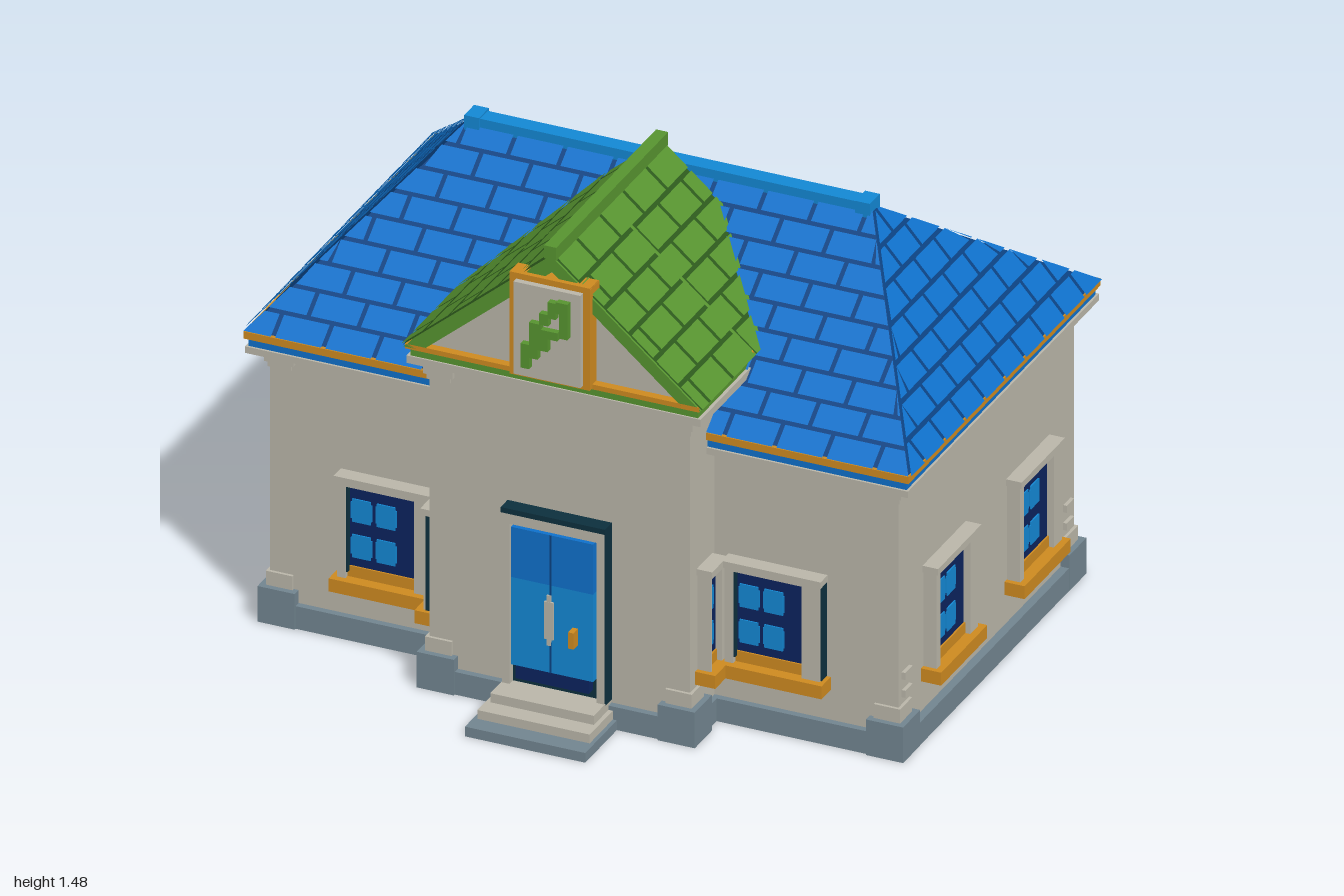
import * as THREE from 'three';
import { ConvexGeometry } from 'three/addons/geometries/ConvexGeometry.js';

const mat = (name, color) => {
  const m = new THREE.MeshStandardMaterial({ color });
  m.name = name;
  return m;
};
const M = {
  stone: mat('beige stone', 0xbab6a9),
  slate: mat('slate grey', 0x728590),
  gold: mat('gold trim', 0xce8a20),
  roof: mat('roof blue', 0x0f71cb),
  sky: mat('light blue', 0x1388d4),
  seam: mat('dark blue seam', 0x0a4282),
  navy: mat('navy', 0x0c235e),
  teal: mat('dark teal', 0x0d303e),
  green: mat('roof green', 0x579430),
  moss: mat('dark green seam', 0x2d5a1c),
};

// Box given by its limits on each axis
function box(parent, name, material, x0, x1, y0, y1, z0, z1) {
  const mesh = new THREE.Mesh(new THREE.BoxGeometry(x1 - x0, y1 - y0, z1 - z0), material);
  mesh.position.set((x0 + x1) / 2, (y0 + y1) / 2, (z0 + z1) / 2);
  mesh.name = name;
  parent.add(mesh);
  return mesh;
}

// Group on a wall: local +z points out of the wall
function onWall(parent, name, x, z, turn) {
  const g = new THREE.Group();
  g.name = name;
  g.position.set(x, 0, z);
  g.rotation.y = turn;
  parent.add(g);
  return g;
}

// Running-bond tiles on a slope; half-width goes from half0 at the eave to half1 at the ridge
function tiles(parent, name, material, eave, u, top, half0, half1, rows, width) {
  const up = top.clone().sub(eave);
  const n = u.clone().cross(up).normalize();
  const gap = 0.013, lift = 0.009, len = up.length(), pos = [];
  const point = (a, v) => {
    const half = half0 + (half1 - half0) * v;
    const c = Math.max(-half, Math.min(half, a));
    return eave.clone().addScaledVector(u, c).addScaledVector(up, v).addScaledVector(n, lift);
  };
  for (let r = 0; r < rows; r++) {
    const v0 = r / rows, v1 = (r + 1) / rows - gap / len;
    const start = -Math.ceil(half0 / width) * width - (r % 2) * width / 2;
    for (let a = start; a < half0; a += width) {
      const b = a + width - gap;
      const [p, q, s, t] = [point(a, v0), point(b, v0), point(b, v1), point(a, v1)];
      if (p.distanceTo(q) + s.distanceTo(t) < 0.004) continue;
      for (const k of [p, q, s, p, s, t]) pos.push(k.x, k.y, k.z);
    }
  }
  const geo = new THREE.BufferGeometry();
  geo.setAttribute('position', new THREE.Float32BufferAttribute(pos, 3));
  geo.computeVertexNormals();
  const mesh = new THREE.Mesh(geo, material);
  mesh.name = name;
  parent.add(mesh);
}

// Framed window with glass set towards its left
function addWindow(parent, x, z, turn, w = 0.285) {
  const g = onWall(parent, 'window', x, z, turn), h = w / 2;
  const left = -h + w * 0.09, right = h - w * 0.19, y0 = 0.235, y1 = 0.485;
  box(g, 'windowFrameLeft', M.stone, -h, left, 0.2, 0.5, 0, 0.04);
  box(g, 'windowFrameRight', M.stone, right, h, 0.2, 0.5, 0, 0.04);
  box(g, 'windowFrameTop', M.stone, left, right, y1, 0.5, 0, 0.04);
  box(g, 'windowLintel', M.stone, -h - 0.006, h + 0.006, 0.495, 0.515, 0, 0.047);
  box(g, 'windowShadeSide', M.teal, h, h + 0.003, 0.2, 0.495, 0, 0.033);
  box(g, 'windowInnerEdge', M.teal, left, left + 0.005, 0.22, y1, 0, 0.037);
  box(g, 'windowSill', M.gold, -h - 0.015, h + 0.015, 0.162, 0.202, 0, 0.06);
  box(g, 'windowGoldStrip', M.gold, left, right, 0.2, y0, 0, 0.025);
  box(g, 'windowGlass', M.navy, left, right, y0, y1, 0, 0.02);
  const gw = right - left;
  for (const cx of [0.06, 0.42]) {
    for (const cy of [0.25, 0.36]) {
      const a = left + gw * cx, b = a + gw * 0.27;
      box(g, 'windowPane', M.sky, a, b, cy + 0.012, cy + 0.083, 0.02, 0.024);
      box(g, 'windowPaneMiddle', M.sky, a - 0.004, b + 0.004, cy + 0.022, cy + 0.073, 0.019, 0.023);
    }
  }
}

// Panelled door; side is +1 or -1 for the handle
function addDoor(parent, z, turn, side, canopy) {
  const g = onWall(parent, 'door', 0, z, turn), top = canopy ? 0.54 : 0.61;
  for (const s of [-1, 1]) {
    box(g, 'doorPost', M.stone, Math.min(s * 0.13, s * 0.152), Math.max(s * 0.13, s * 0.152), 0.08, top, 0, 0.045);
  }
  box(g, 'doorLintel', M.stone, -0.13, 0.13, top - 0.03, top, 0, 0.045);
  box(g, 'doorShadeSide', M.teal, 0.152, 0.156, 0.08, top, 0, 0.04);
  box(g, 'doorBacking', M.teal, -0.13, 0.13, 0.08, top - 0.03, 0, 0.022);
  const leafTop = top - 0.035;
  box(g, 'doorLeafLower', M.sky, -0.123, 0.123, 0.15, 0.42, 0, 0.05);
  box(g, 'doorLeafUpper', M.roof, -0.123, 0.123, 0.42, leafTop, 0, 0.05);
  box(g, 'doorKickStrip', M.navy, -0.11, 0.11, 0.11, 0.15, 0, 0.05);
  box(g, 'doorSplit', M.seam, -0.007, -0.002, 0.15, leafTop, 0.05, 0.052);
  box(g, 'doorPlate', M.stone, -0.022, 0.006, 0.255, 0.37, 0.05, 0.056);
  box(g, 'doorPlateFoot', M.stone, -0.014, -0.002, 0.235, 0.39, 0.05, 0.055);
  box(g, 'doorHandle', M.gold, side * 0.07 - 0.008, side * 0.07 + 0.008, 0.255, 0.305, 0.05, 0.08);
  if (canopy) {
    box(g, 'doorCanopy', M.slate, -0.165, 0.165, 0.535, 0.568, 0, 0.098);
    box(g, 'doorCanopyBed', M.slate, -0.15, 0.15, 0.515, 0.535, 0, 0.06);
  } else {
    box(g, 'doorCap', M.teal, -0.156, 0.156, top, 0.626, 0, 0.045);
  }
}

// Grey foot, stone plinth and stone capital on one wall corner
function addCorner(parent, sx, x, sz, z, capTop) {
  const g = onWall(parent, 'corner', 0, 0, 0);
  const block = (name, m, out, size, y0, y1) => {
    const xo = sx * (x + out), xi = sx * (x - size), zo = z + sz * out, zi = z - sz * size;
    box(g, name, m, Math.min(xo, xi), Math.max(xo, xi), y0, y1, Math.min(zo, zi), Math.max(zo, zi));
  };
  block('cornerFoot', M.slate, 0.026, 0.085, 0, 0.11);
  block('cornerPlinth', M.stone, 0.009, 0.07, 0.11, 0.153);
  block('cornerCapital', M.stone, 0.013, 0.075, capTop - 0.027, capTop);
  block('cornerCapitalNeck', M.stone, 0.006, 0.065, capTop - 0.045, capTop - 0.027);
}

export function createModel() {
  const house = new THREE.Group();
  house.name = 'house';
  const V = (x, y, z) => new THREE.Vector3(x, y, z);

  // Foundations, walls and steps
  box(house, 'foundation', M.slate, -0.965, 0.965, 0, 0.07, -0.67, 0.51);
  box(house, 'porchFoundation', M.slate, -0.405, 0.405, 0, 0.07, 0.4, 0.67);
  box(house, 'mainWalls', M.stone, -0.94, 0.94, 0.06, 0.86, -0.65, 0.49);
  box(house, 'porchWalls', M.stone, -0.39, 0.39, 0.06, 1.01, 0.1, 0.65);
  for (const s of [1, -1]) {
    [[0.18, 0.875, 0, 0.03], [0.168, 0.82, 0.03, 0.057], [0.155, 0.765, 0.057, 0.085]].forEach(([w, d, y0, y1], i) =>
      box(house, 'step', i ? M.stone : M.slate, -w * (s > 0 ? 1 : 0.93), w * (s > 0 ? 1 : 0.93), y0, y1, Math.min(s * 0.6, s * d), Math.max(s * 0.6, s * d)));
  }

  // Corners, small corner bricks and rear downpipes
  for (const sx of [-1, 1]) {
    addCorner(house, sx, 0.94, 1, 0.49, 0.83);
    addCorner(house, sx, 0.94, -1, -0.65, 0.83);
    addCorner(house, sx, 0.39, 1, 0.65, 0.995);
    for (const z of [0.445, -0.605]) {
      for (const y of [0.175, 0.23]) {
        box(house, 'cornerBrick', M.stone, sx * 0.943 - 0.008, sx * 0.943 + 0.008, y, y + 0.022, z - 0.024, z + 0.024);
      }
    }
    box(house, 'downpipe', M.roof, sx * 0.87 - 0.015, sx * 0.87 + 0.015, 0.09, 0.84, -0.682, -0.65);
    box(house, 'downpipeFoot', M.roof, sx * 0.87 - 0.018, sx * 0.87 + 0.018, 0.08, 0.11, -0.7, -0.65);
  }

  // Windows and doors
  for (const s of [-1, 1]) {
    addWindow(house, s * 0.58, 0.49, 0);
    addWindow(house, s * 0.46, -0.65, Math.PI);
    addWindow(house, s * 0.94, 0.193, s * Math.PI / 2, 0.27);
    addWindow(house, s * 0.94, -0.35, s * Math.PI / 2, 0.27);
    addWindow(house, s * 0.39, 0.557, s * Math.PI / 2, 0.09);
  }
  addDoor(house, 0.65, 0, 1, false);
  addDoor(house, -0.65, Math.PI, -1, true);

  // Main eaves, from the wall upwards: [overhang, bottom, top, colour]
  for (const [o, y0, y1, m] of [[0.02, 0.825, 0.84, M.gold], [0.052, 0.838, 0.858, M.stone], [0.045, 0.858, 0.883, M.roof], [0.055, 0.883, 0.905, M.gold]]) {
    box(house, 'eavesBand', m, -0.94 - o, 0.94 + o, y0, y1, -0.65 - o, 0.49 + o);
  }

  // Hipped main roof
  const hip = [V(-0.6, 1.345, -0.08), V(0.6, 1.345, -0.08)];
  for (const x of [-0.995, 0.995]) for (const z of [-0.7, 0.54]) hip.push(V(x, 0.9, z));
  const hipMesh = new THREE.Mesh(new ConvexGeometry(hip), M.seam);
  hipMesh.name = 'mainRoofBase';
  house.add(hipMesh);
  for (const s of [-1, 1]) {
    tiles(house, 'mainRoofTiles', M.roof, V(0, 0.9, -0.08 + s * 0.62), V(s, 0, 0), V(0, 1.345, -0.08), 0.995, 0.6, 9, 0.15);
    tiles(house, 'hipEndTiles', M.roof, V(s * 0.995, 0.9, -0.08), V(0, 0, -s), V(s * 0.6, 1.345, -0.08), 0.62, 0, 7, 0.13);
    box(house, 'ridgeEnd', M.sky, s * 0.585 - 0.022, s * 0.585 + 0.022, 1.325, 1.37, -0.112, -0.048);
  }
  box(house, 'mainRidge', M.sky, -0.6, 0.6, 1.33, 1.365, -0.105, -0.055);

  // Porch cornice
  for (const [x, y0, y1, z, m] of [[0.4, 0.99, 1.005, 0.66, M.gold], [0.44, 1.005, 1.028, 0.69, M.stone], [0.43, 1.028, 1.055, 0.685, M.green], [0.44, 1.055, 1.07, 0.7, M.gold]]) {
    box(house, 'porchCornice', m, -x, x, y0, y1, 0.15, z);
  }

  // Porch gable: solid pediment under a green pitched roof
  const extrude = (name, m, pts, z0, z1) => {
    const shape = new THREE.Shape(pts.map(([x, y]) => new THREE.Vector2(x, y)));
    const mesh = new THREE.Mesh(new THREE.ExtrudeGeometry(shape, { depth: z1 - z0, bevelEnabled: false }), m);
    mesh.position.z = z0;
    mesh.name = name;
    house.add(mesh);
  };
  extrude('pediment', M.stone, [[-0.41, 1.06], [0.41, 1.06], [0, 1.41]], 0, 0.675);
  extrude('gableRoofEdge', M.green, [[-0.445, 1.06], [-0.39, 1.06], [0, 1.39], [0.39, 1.06], [0.445, 1.06], [0, 1.437]], -0.01, 0.7);
  for (const s of [-1, 1]) {
    const skin = V(s * 0.003, 0.003, 0);
    tiles(house, 'gableSeams', M.moss, V(s * 0.445, 1.06, 0.345).sub(skin), V(0, 0, -s), V(0, 1.437, 0.345).sub(skin), 0.355, 0.355, 1, 2);
    tiles(house, 'gableTiles', M.green, V(s * 0.445, 1.06, 0.345), V(0, 0, -s), V(0, 1.44, 0.345), 0.355, 0.355, 6, 0.15);
  }
  box(house, 'gableRidge', M.green, -0.018, 0.018, 1.435, 1.475, -0.016, 0.712);

  // Gable plaque with a stepped key ornament
  box(house, 'plaqueBoard', M.stone, -0.1, 0.1, 1.07, 1.355, 0.66, 0.733);
  for (const s of [-1, 1]) box(house, 'plaqueFrameSide', M.gold, s * 0.11 - 0.011, s * 0.11 + 0.011, 1.06, 1.37, 0.655, 0.715);
  box(house, 'plaqueFrameTop', M.gold, -0.12, 0.12, 1.352, 1.373, 0.66, 0.715);
  box(house, 'plaqueFrameBottom', M.gold, -0.12, 0.12, 1.057, 1.072, 0.66, 0.715);
  const key = [[-0.07, -0.045, 1.105, 1.18], [-0.045, -0.02, 1.14, 1.205], [-0.02, 0.01, 1.17, 1.235],
    [-0.015, 0.012, 1.25, 1.285], [0.01, 0.04, 1.21, 1.235], [0.01, 0.035, 1.275, 1.325],
    [0.035, 0.07, 1.295, 1.33], [0.045, 0.07, 1.22, 1.295], [-0.045, -0.01, 1.205, 1.25]];
  for (const [x0, x1, y0, y1] of key) box(house, 'keyOrnament', M.green, x0, x1, y0, y1, 0.733, 0.752);

  return house;
}
